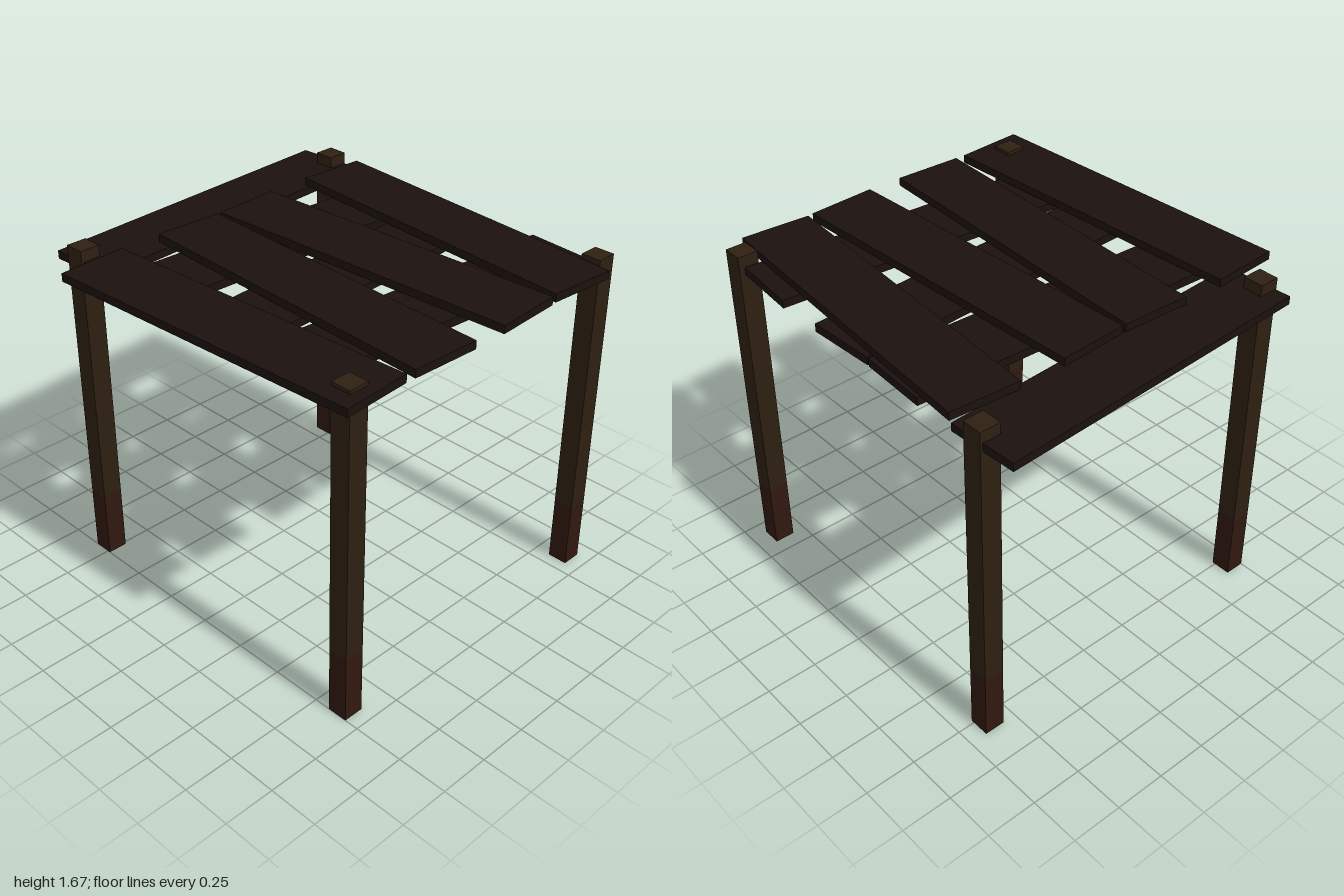
import * as THREE from 'three';

const postMaterial = new THREE.MeshStandardMaterial({ color: 0x2e1f12 });
const footMaterial = new THREE.MeshStandardMaterial({ color: 0x301810 });
const plankMaterial = new THREE.MeshStandardMaterial({ color: 0x1b110e });

const POST_WIDTH = 0.1, POST_HEIGHT = 1.67, FOOT_HEIGHT = 0.34;
const PLANK_LENGTH = 1.645, PLANK_WIDTH = 0.342, PLANK_THICKNESS = 0.04;

function addBox(parent, name, size, position, material) {
  const mesh = new THREE.Mesh(new THREE.BoxGeometry(...size), material);
  mesh.name = name;
  mesh.position.set(...position);
  parent.add(mesh);
  return mesh;
}

export function createModel() {
  const model = new THREE.Group();
  model.name = 'pergola';

  // Four square posts, each with a reddish foot
  for (const [side, x] of [['Right', -0.7], ['Left', 0.865]]) {
    for (const [end, z] of [['back', -0.785], ['front', 0.88]]) {
      const post = new THREE.Group();
      post.name = `${end}${side}Post`;
      post.position.set(x, 0, z);
      addBox(post, 'postFoot', [POST_WIDTH, FOOT_HEIGHT, POST_WIDTH], [0, FOOT_HEIGHT / 2, 0], footMaterial);
      addBox(post, 'postShaft', [POST_WIDTH, POST_HEIGHT - FOOT_HEIGHT, POST_WIDTH],
        [0, (POST_HEIGHT + FOOT_HEIGHT) / 2, 0], postMaterial);
      model.add(post);
    }
  }

  // Lower planks running side to side: [z, yaw]
  const lower = [[-0.787, 0.052], [-0.317, -0.049], [0.12, 0.054], [0.594, -0.075]];
  lower.forEach(([z, yaw], i) => {
    const plank = addBox(model, `lowerPlank${i + 1}`, [PLANK_LENGTH, PLANK_THICKNESS, PLANK_WIDTH],
      [0.082, 1.595, z], plankMaterial);
    plank.rotation.y = yaw;
  });

  // Upper planks running front to back: [x, yaw]
  const upper = [[-0.702, 0.0545], [-0.23, -0.045], [0.208, 0.052], [0.68, -0.073]];
  upper.forEach(([x, yaw], i) => {
    const plank = addBox(model, `upperPlank${i + 1}`, [PLANK_WIDTH, PLANK_THICKNESS, PLANK_LENGTH],
      [x, 1.634, 0.164], plankMaterial);
    plank.rotation.y = yaw;
  });

  return model;
}
